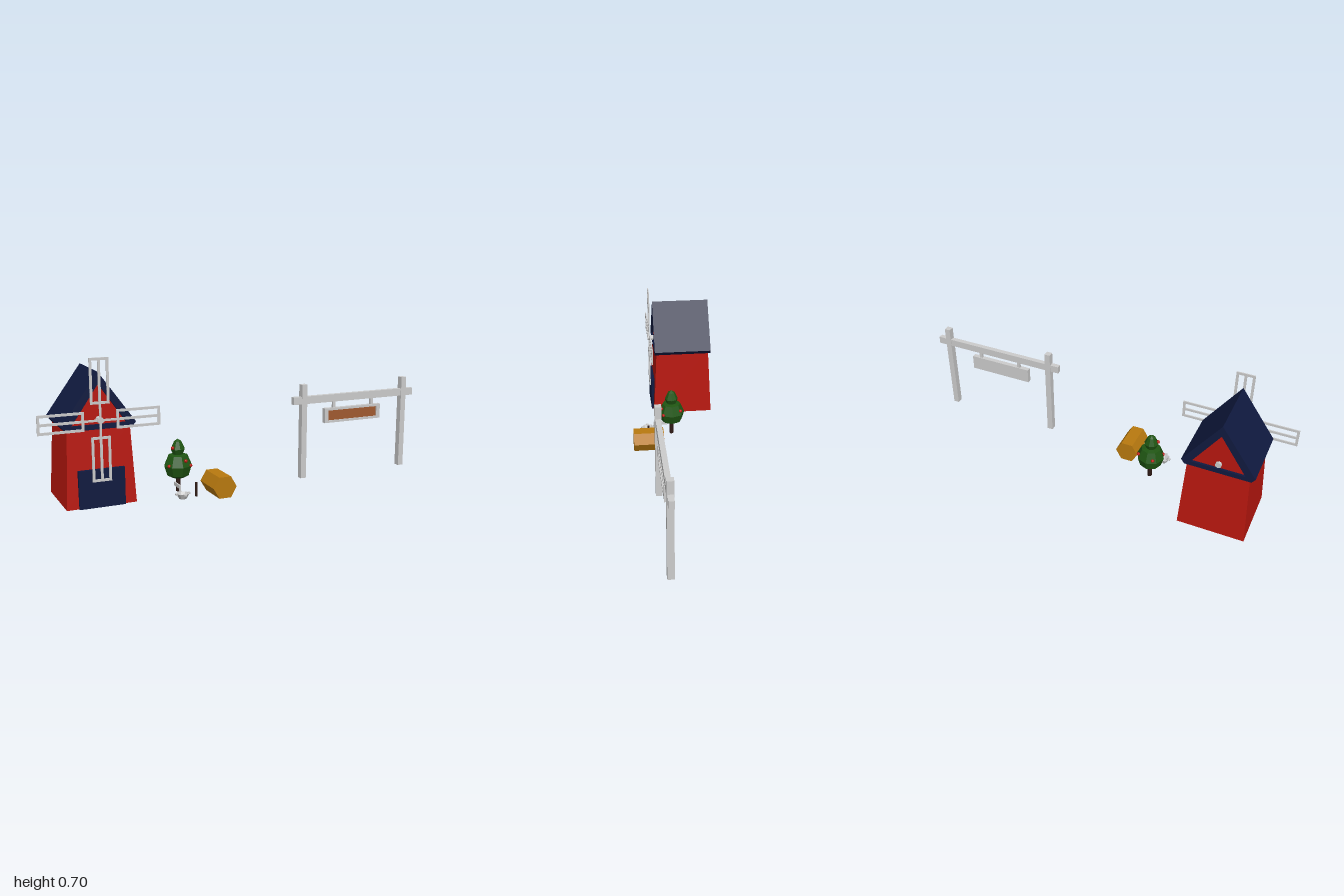
import * as THREE from 'three';

const paint = (color) => new THREE.MeshStandardMaterial({ color, flatShading: true });
const GREY = paint(0xcccccc), RED = paint(0xb8170f), NAVY = paint(0x101a40), GREEN = paint(0x1f5512),
  BARK = paint(0x2e1914), STRAW = paint(0xb8790f), BOARD = paint(0xa05a30);

function add(parent, name, geometry, material, x = 0, y = 0, z = 0) {
  const mesh = new THREE.Mesh(geometry, material);
  mesh.name = name;
  mesh.position.set(x, y, z);
  parent.add(mesh);
  return mesh;
}

function group(parent, name, x = 0, y = 0, z = 0) {
  const g = new THREE.Group();
  g.name = name;
  g.position.set(x, y, z);
  parent.add(g);
  return g;
}

const box = (w, h, d) => new THREE.BoxGeometry(w, h, d);
const points = (list) => list.map(([x, y]) => new THREE.Vector2(x, y));

// Extrudes an outline with optional holes, from z = 0 forwards
function plate(outline, holes, depth) {
  const shape = new THREE.Shape(points(outline));
  for (const hole of holes) shape.holes.push(new THREE.Path(points(hole)));
  return new THREE.ExtrudeGeometry(shape, { depth, bevelEnabled: false });
}

const rect = (x0, y0, x1, y1) => [[x0, y0], [x1, y0], [x1, y1], [x0, y1]];

function buildWindmill(parent) {
  const mill = group(parent, 'windmill', -0.711, 0, -0.068);

  // Tapered walls
  const walls = box(0.332, 0.376, 0.332);
  const p = walls.attributes.position;
  for (let i = 0; i < p.count; i++) {
    if (p.getY(i) > 0) p.setXYZ(i, p.getX(i) * 0.885, p.getY(i), p.getZ(i) * 0.885);
  }
  walls.computeVertexNormals();
  add(mill, 'walls', walls, RED, 0, 0.191, 0);

  // Roof frame with the gables set into it
  const gable = [[-0.128, 0.389], [0.128, 0.389], [0, 0.575]];
  const roof = plate([[-0.174, 0.388], [-0.157, 0.366], [0.157, 0.366], [0.174, 0.388], [0, 0.63]], [gable], 0.317);
  add(mill, 'roof', roof, NAVY, 0, 0, -0.159);
  add(mill, 'gables', plate(gable, [], 0.294), RED, 0, 0, -0.147);
  add(mill, 'door', box(0.218, 0.18, 0.06), NAVY, 0, 0.092, 0.146);

  // Axle and four lattice sails
  const axle = add(mill, 'axle', new THREE.CylinderGeometry(0.015, 0.015, 0.349, 8), GREY, 0, 0.411, 0.0135);
  axle.rotation.x = Math.PI / 2;
  const rotor = group(mill, 'sails', 0, 0.411, 0.176);
  const slots = [rect(-0.033, 0.087, -0.006, 0.273), rect(0.006, 0.087, 0.033, 0.273)];
  const sail = plate(rect(-0.045, 0.075, 0.045, 0.285), slots, 0.006);
  for (let i = 0; i < 4; i++) {
    const arm = group(rotor, 'sail');
    arm.rotation.z = i * Math.PI / 2;
    add(arm, 'sailFrame', sail, GREY);
    add(arm, 'sailSpar', box(0.01, 0.08, 0.006), GREY, 0, 0.04, 0.003);
  }
}

function buildTree(parent) {
  const tree = group(parent, 'tree', -0.305, 0, 0.02);
  add(tree, 'trunk', new THREE.CylinderGeometry(0.011, 0.012, 0.09, 6), BARK, 0, 0.048, 0);
  const crown = (name, profile) => add(tree, name, new THREE.LatheGeometry(points(profile), 8), GREEN);
  crown('lowerFoliage', [[0, 0.068], [0.03, 0.073], [0.056, 0.088], [0.071, 0.135], [0.049, 0.186], [0, 0.196]]);
  crown('upperFoliage', [[0, 0.18], [0.024, 0.187], [0.036, 0.217], [0.019, 0.254], [0, 0.267]]);
  const fruits = [[0.047, 0.138, 0.047], [0.05, 0.162, -0.045], [-0.056, 0.14, 0.028],
    [-0.031, 0.225, 0.012], [0.02, 0.165, 0.055], [-0.03, 0.15, -0.053]];
  for (const f of fruits) add(tree, 'fruit', new THREE.IcosahedronGeometry(0.009, 1), RED, ...f);
}

function buildYardThings(parent) {
  // Six-sided bale lying along z
  const bale = add(parent, 'hayBale', new THREE.CylinderGeometry(0.06, 0.06, 0.16, 6), STRAW, -0.15, 0.058, 0.157);
  bale.rotation.set(Math.PI / 2, Math.PI / 6, 0);
  add(parent, 'stake', new THREE.CylinderGeometry(0.006, 0.006, 0.07, 6), BARK, -0.263, 0.041, 0.15);

  // Small scoop with an upturned handle
  const scoop = group(parent, 'scoop', -0.333, 0, 0.15);
  const bowl = [[0, 0], [0.018, 0.004], [0.033, 0.03], [0.028, 0.03], [0.014, 0.009], [0, 0.007]];
  add(scoop, 'bowl', new THREE.LatheGeometry(points(bowl), 8), GREY);
  for (let i = 0; i < 4; i++) {
    const arm = group(scoop, 'rimLug');
    arm.rotation.y = i * Math.PI / 2;
    add(arm, 'lug', box(0.014, 0.008, 0.01), GREY, 0, 0.028, 0.032);
  }
  add(scoop, 'handleStem', box(0.006, 0.036, 0.006), GREY, 0, 0.042, -0.036);
  add(scoop, 'handleGrip', box(0.007, 0.018, 0.074), GREY, 0, 0.051, -0.07);
}

function buildSign(parent) {
  const sign = group(parent, 'hangingSign', 0.633, 0, 0.14);
  for (const side of [-1, 1]) {
    add(sign, 'post', box(0.03, 0.483, 0.031), GREY, side * 0.305, 0.267, 0);
    add(sign, 'hanger', box(0.016, 0.045, 0.012), GREY, side * 0.116 - 0.007, 0.391, 0);
  }
  add(sign, 'beam', box(0.73, 0.038, 0.025), GREY, 0, 0.428, 0);
  const frame = plate(rect(-0.17, -0.038, 0.17, 0.038), [rect(-0.148, -0.026, 0.148, 0.026)], 0.024);
  add(sign, 'signFrame', frame, GREY, -0.012, 0.338, -0.012);
  add(sign, 'signBack', box(0.298, 0.054, 0.008), GREY, -0.012, 0.338, -0.008);
  add(sign, 'signBoard', box(0.298, 0.054, 0.01), BOARD, -0.012, 0.338, 0.001);
}

export function createModel() {
  const model = new THREE.Group();
  model.name = 'windmillYard';
  buildWindmill(model);
  buildTree(model);
  buildYardThings(model);
  buildSign(model);
  return model;
}
